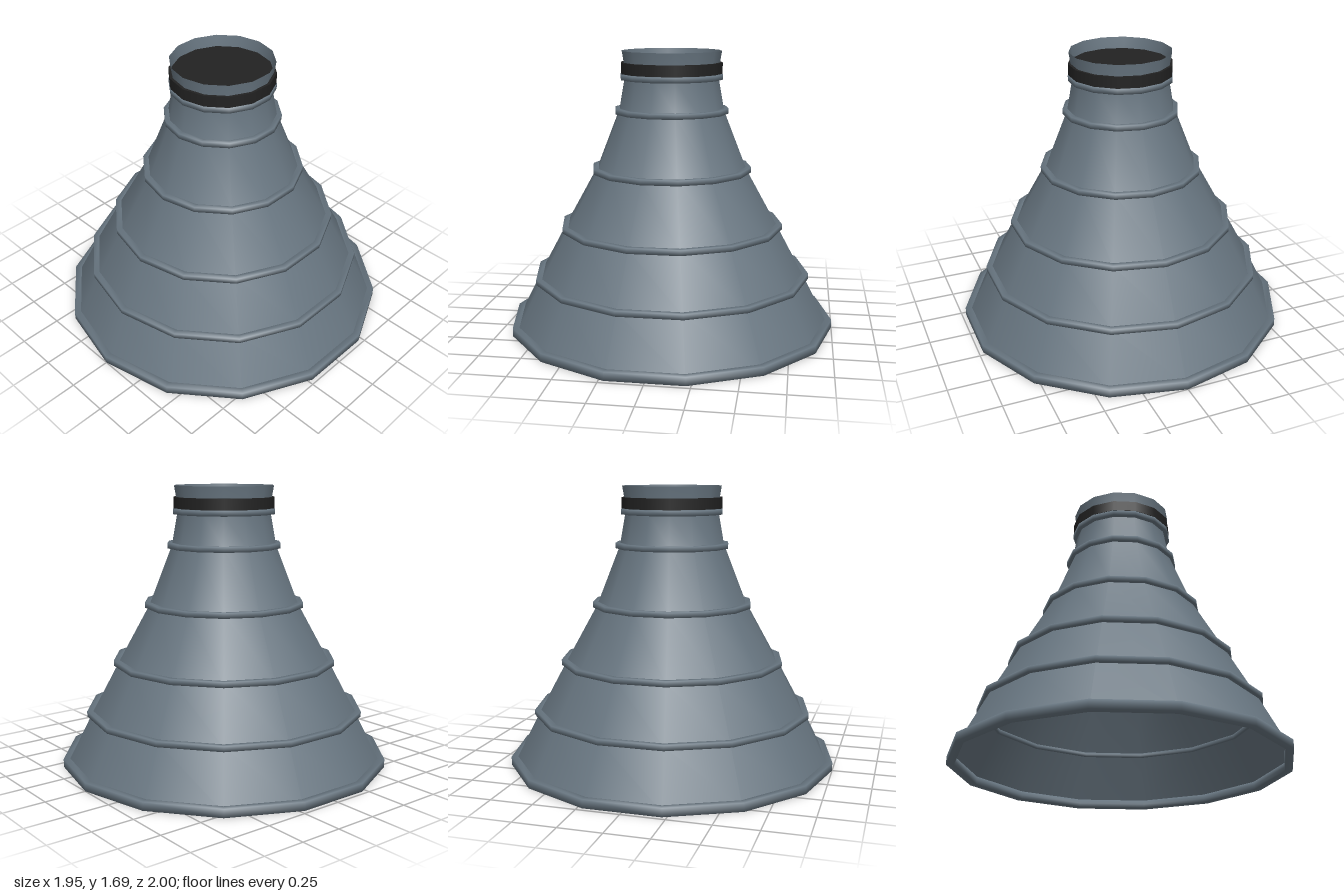
import * as THREE from 'three';

const SIDES = 14;

export function createModel() {
  const model = new THREE.Group();
  model.name = 'nozzle';

  const steel = new THREE.MeshStandardMaterial({ color: 0x687681, side: THREE.DoubleSide });
  steel.name = 'blue grey steel';
  const black = new THREE.MeshStandardMaterial({ color: 0x222222 });
  black.name = 'black';

  const add = (name, geometry, material, y = 0) => {
    const mesh = new THREE.Mesh(geometry, material);
    mesh.name = name;
    mesh.position.y = y;
    model.add(mesh);
  };
  const lathe = (points) =>
    new THREE.LatheGeometry(points.map(([r, y]) => new THREE.Vector2(r, y)), SIDES);

  // Thin flared bell, open at the bottom, with a slightly flared rim on top
  add('bell', lathe([
    [0.975, 0.02], [0.82, 0.325], [0.655, 0.63], [0.46, 0.98],
    [0.32, 1.335], [0.284, 1.535], [0.29, 1.61], [0.303, 1.69],
  ]), steel);

  // Raised hoops, softly shaded: outer radius, centre height, thickness, depth
  const hoops = [
    [1.0, 0.025, 0.05, 0.045],
    [0.85, 0.325, 0.032, 0.036],
    [0.682, 0.632, 0.032, 0.036],
    [0.487, 0.98, 0.032, 0.036],
    [0.346, 1.335, 0.032, 0.034],
    [0.31, 1.537, 0.032, 0.034],
  ];
  hoops.forEach(([r, y, thick, depth], i) => {
    const h = thick / 2;
    const inner = r - depth;
    add(`hoop${i + 1}`, lathe([
      [inner, 0], [inner, -h], [r, -h], [r, h], [inner, h], [inner, 0],
    ]), steel, y);
  });

  // Black collar, whose top closes the throat just below the rim
  add('throatCollar', new THREE.CylinderGeometry(0.308, 0.308, 0.066, SIDES), black, 1.589);

  return model;
}
